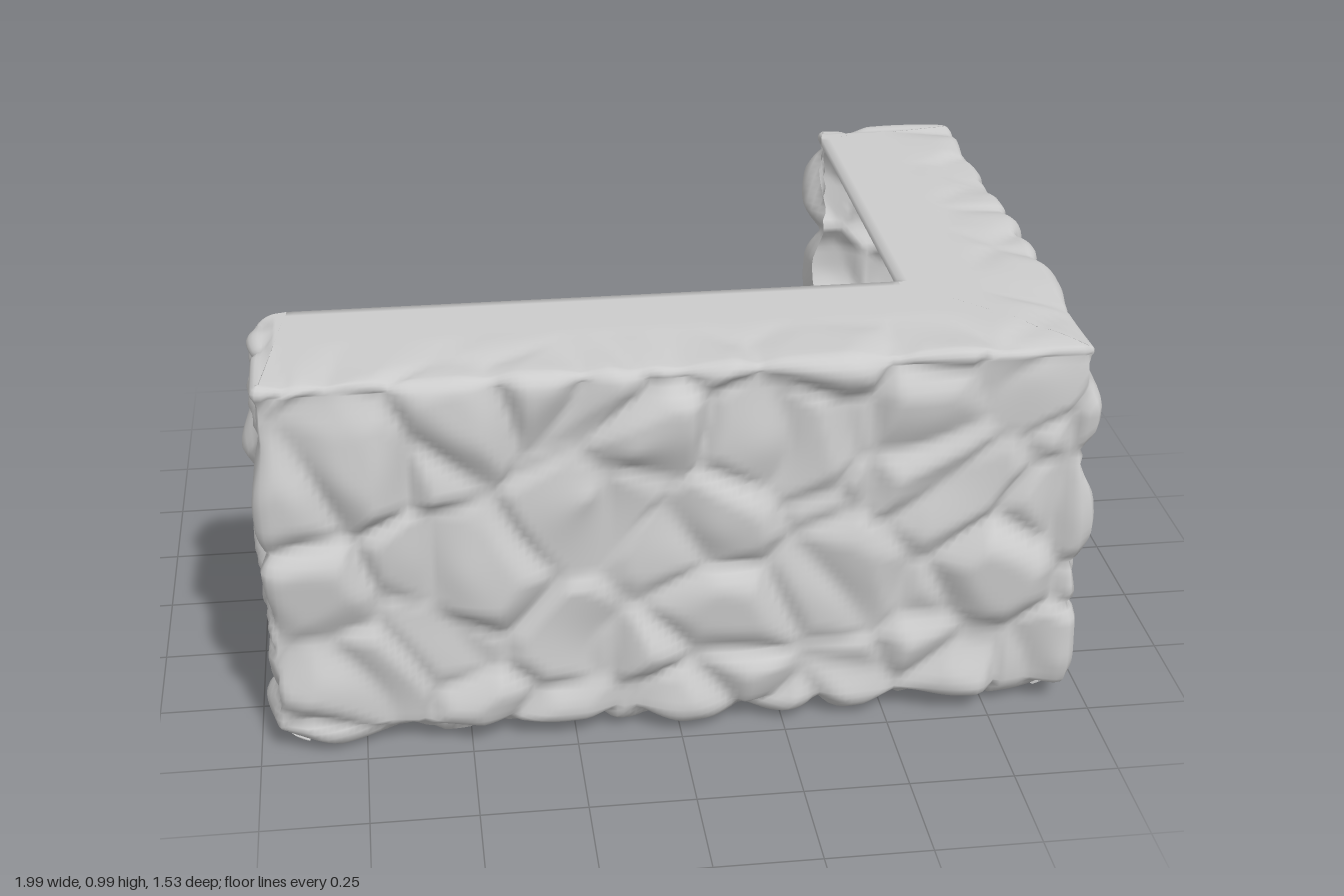
import * as THREE from 'three';

const { clamp } = THREE.MathUtils;

// repeatable hash of a lattice cell, 0..1
function hash(i, j, k, s) {
  const h = Math.sin(i * 127.1 + j * 311.7 + k * 74.7 + s * 53.3) * 43758.5453;
  return h - Math.floor(h);
}

// rounded-stone relief: uneven domes over scattered cells, with soft creases between
const CELL = 0.235;
function stoneRelief(point) {
  const { x, y, z } = point;
  const p = new THREE.Vector3(
    x + 0.03 * Math.sin(8 * y + 5 * z),
    y + 0.035 * Math.sin(7 * x + 6 * z),
    z + 0.03 * Math.sin(9 * y + 4 * x));
  const [ci, cj, ck] = p.toArray().map((v) => Math.floor(v / CELL));
  let f1 = 9, f2 = 9, best = null;
  for (let i = ci - 1; i <= ci + 1; i++)
    for (let j = cj - 1; j <= cj + 1; j++)
      for (let k = ck - 1; k <= ck + 1; k++) {
        const q = new THREE.Vector3(
          (i + hash(i, j, k, 1)) * CELL,
          (j + hash(i, j, k, 2)) * CELL,
          (k + hash(i, j, k, 3)) * CELL);
        const d = q.distanceTo(p);
        if (d < f1) { f2 = f1; f1 = d; best = { q, i, j, k }; }
        else if (d < f2) f2 = d;
      }
  const { q, i, j, k } = best;
  const dome = Math.sin(Math.min(1, (f2 - f1) / 0.13) * Math.PI / 2);
  const tilt = [4, 5, 6].map((s) => hash(i, j, k, s) - 0.5);
  const lean = (p.x - q.x) * tilt[0] + (p.y - q.y) * tilt[1] + (p.z - q.z) * tilt[2];
  return dome * (0.036 + 0.016 * hash(i, j, k, 7) + lean * 0.25) - 0.022;
}

// plan of the outer face (x, z), wrapping a little round both ends
function planPath() {
  const c = [[-0.88, 0.335], [-0.965, 0.335], [-0.965, 0.73], [0.955, 0.73],
    [0.955, -0.735], [0.57, -0.735], [0.57, -0.64]].map(([x, z]) => new THREE.Vector2(x, z));
  const path = new THREE.Path().moveTo(c[0].x, c[0].y);
  for (let i = 1; i < c.length - 1; i++) {
    const toward = (t) => c[i].clone().add(t.clone().sub(c[i]).setLength(0.03));
    const a = toward(c[i - 1]), b = toward(c[i + 1]);
    path.lineTo(a.x, a.y);
    path.quadraticCurveTo(c[i].x, c[i].y, b.x, b.y);
  }
  path.lineTo(c[6].x, c[6].y);
  return path;
}

// upright section: inset from the plan, height, outward and upward normal
function wallProfile() {
  const rows = [], low = 0.038, high = 0.983, curl = 0.08, rLow = 0.05, rHigh = 0.03, steps = 46;
  for (let i = 0; i <= 6; i++) {
    const a = (i / 6) * Math.PI / 2;
    rows.push([curl * (1 - Math.sin(a)), low + rLow * (1 - Math.cos(a)), Math.sin(a), -Math.cos(a)]);
  }
  for (let i = 1; i < steps; i++)
    rows.push([0, low + rLow + (high - low - rLow - rHigh) * i / steps, 1, 0]);
  for (let i = 0; i <= 5; i++) {
    const a = (i / 5) * Math.PI / 2;
    rows.push([rHigh * (1 - Math.cos(a)), high - rHigh + rHigh * Math.sin(a), Math.cos(a), Math.sin(a)]);
  }
  return rows;
}

// nearest point on the straight inner edge of the L-shaped top
function innerEdge(x, z) {
  return [clamp(x, -0.88, 0.57), x < 0.5 ? 0.335 : clamp(z, -0.64, 0.335)];
}

function surfaceGeometry() {
  const N = 280, ROOF = 16;
  const pts = planPath().getSpacedPoints(N);
  const normals = pts.map((_, i) => {
    const t = pts[Math.min(N, i + 1)].clone().sub(pts[Math.max(0, i - 1)]).normalize();
    return [-t.y, t.x];
  });
  // edge rounding fades out where the plan wraps round the two ends
  const inward = (i, inset) => {
    const d = inset * Math.min(1, i / 8, (N - i) / 8);
    return [pts[i].x - normals[i][0] * d, pts[i].y - normals[i][1] * d];
  };
  const profile = wallProfile(), pos = [], index = [];
  const add = (p, n, weight) => {
    p.addScaledVector(n, stoneRelief(p) * weight);
    pos.push(p.x, p.y, p.z);
  };
  // stone sides
  for (const [inset, y, out, up] of profile)
    normals.forEach(([nx, nz], i) => {
      const [x, z] = inward(i, inset);
      add(new THREE.Vector3(x, y, z), new THREE.Vector3(nx * out, up, nz * out),
        up > 0 ? 1 - 0.6 * up : 1);
    });
  // top, smoothing out toward the inner edge
  const topInset = profile.at(-1)[0], up = new THREE.Vector3(0, 1, 0);
  for (let r = 1; r <= ROOF; r++)
    for (let i = 0; i <= N; i++) {
      const t = r / ROOF, fade = Math.max(0, 1 - t / 0.5);
      const [x, z] = inward(i, topInset), [qx, qz] = innerEdge(x, z);
      add(new THREE.Vector3(x + (qx - x) * t, 0.99 - 0.007 * fade, z + (qz - z) * t),
        up, 0.4 * fade);
    }
  // thin lip hanging from the inner edge
  for (let i = 0; i <= N; i++) {
    const [qx, qz] = innerEdge(...inward(i, topInset));
    pos.push(qx, 0.97, qz);
  }
  const W = N + 1, rows = pos.length / 3 / W;
  for (let r = 0; r < rows - 1; r++)
    for (let i = 0; i < N; i++) {
      const a = r * W + i, b = a + W;
      index.push(a, a + 1, b + 1, a, b + 1, b);
    }
  const g = new THREE.BufferGeometry();
  g.setAttribute('position', new THREE.Float32BufferAttribute(pos, 3));
  g.setIndex(index);
  g.computeVertexNormals();
  return g;
}

export function createModel() {
  const group = new THREE.Group();
  group.name = 'cornerStoneWall';
  // open shell: stone outside, hollow behind and below
  const wall = new THREE.Mesh(surfaceGeometry(),
    new THREE.MeshStandardMaterial({ color: 0xcccccc, side: THREE.DoubleSide }));
  wall.name = 'stoneWall';
  group.add(wall);
  return group;
}
